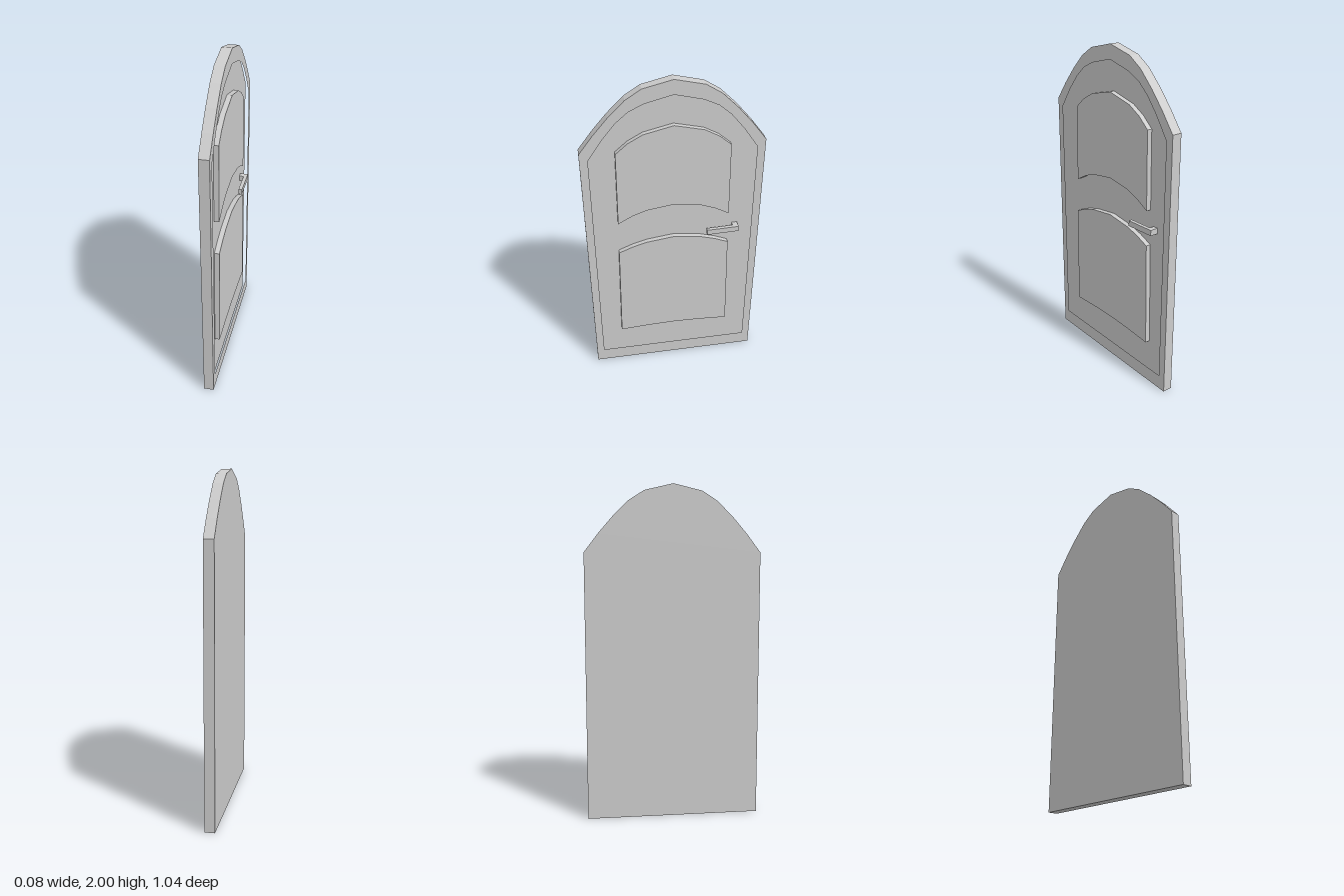
import * as THREE from 'three';

const material = new THREE.MeshStandardMaterial({ color: 0xcccccc, flatShading: true });

// Depths along x, the direction the door faces
const BACK = -0.04, FLOOR = -0.01, FACE = 0.02, HANDLE_FACE = 0.04;

// Closed outline from its right half, listed from top centre down to the bottom
function mirrored(half) {
  const left = half.filter(([u]) => u > 0).reverse().map(([u, y]) => [-u, y]);
  return [...half, ...left].map(([u, y]) => new THREE.Vector2(u, y));
}

// Extrude an upright outline from x0 to x1
function slab(name, shape, x0, x1) {
  const geometry = new THREE.ExtrudeGeometry(shape, { depth: x1 - x0, bevelEnabled: false });
  geometry.rotateY(Math.PI / 2).translate(x0, 0, 0);
  const mesh = new THREE.Mesh(geometry, material);
  mesh.name = name;
  return mesh;
}

export function createModel() {
  const door = new THREE.Group();
  door.name = 'archedDoor';

  const outer = mirrored([[0, 2], [0.17, 1.96], [0.26, 1.903], [0.355, 1.81], [0.44, 1.712], [0.522, 1.605], [0.522, 0]]);
  const inner = mirrored([[0, 1.915], [0.16, 1.875], [0.245, 1.835], [0.315, 1.775], [0.39, 1.685], [0.475, 1.562], [0.475, 0.09]]);
  const upper = mirrored([[0, 1.735], [0.17, 1.695], [0.255, 1.648], [0.325, 1.588], [0.331, 1.12], [0.245, 1.167], [0.165, 1.197], [0, 1.222]]);
  const lower = mirrored([[0, 0.987], [0.165, 0.965], [0.25, 0.94], [0.335, 0.905], [0.348, 0.26], [0.17, 0.271], [0, 0.276]]);

  // Solid leaf and the raised rim around it
  door.add(slab('doorLeaf', new THREE.Shape(outer), BACK, FLOOR));
  const rim = new THREE.Shape(outer);
  rim.holes.push(new THREE.Path(inner));
  door.add(slab('rim', rim, FLOOR, FACE));

  // Raised panels
  door.add(slab('upperPanel', new THREE.Shape(upper), FLOOR, FACE));
  door.add(slab('lowerPanel', new THREE.Shape(lower), FLOOR, FACE));

  // L-shaped lever handle drawn in plan, rising slightly toward its stem
  const plan = new THREE.Shape([
    [FLOOR, 0.36], [0.018, 0.36], [0.018, 0.2], [HANDLE_FACE, 0.2], [HANDLE_FACE, 0.393], [FLOOR, 0.393],
  ].map(([x, u]) => new THREE.Vector2(x, u)));
  const geometry = new THREE.ExtrudeGeometry(plan, { depth: 0.034, bevelEnabled: false });
  geometry.rotateX(-Math.PI / 2).translate(0, 0.989, 0);
  const p = geometry.attributes.position;
  for (let i = 0; i < p.count; i++) p.setY(i, p.getY(i) + 0.03 * (-p.getZ(i) - 0.2));
  geometry.computeVertexNormals();
  const handle = new THREE.Mesh(geometry, material);
  handle.name = 'handle';
  door.add(handle);

  return door;
}
